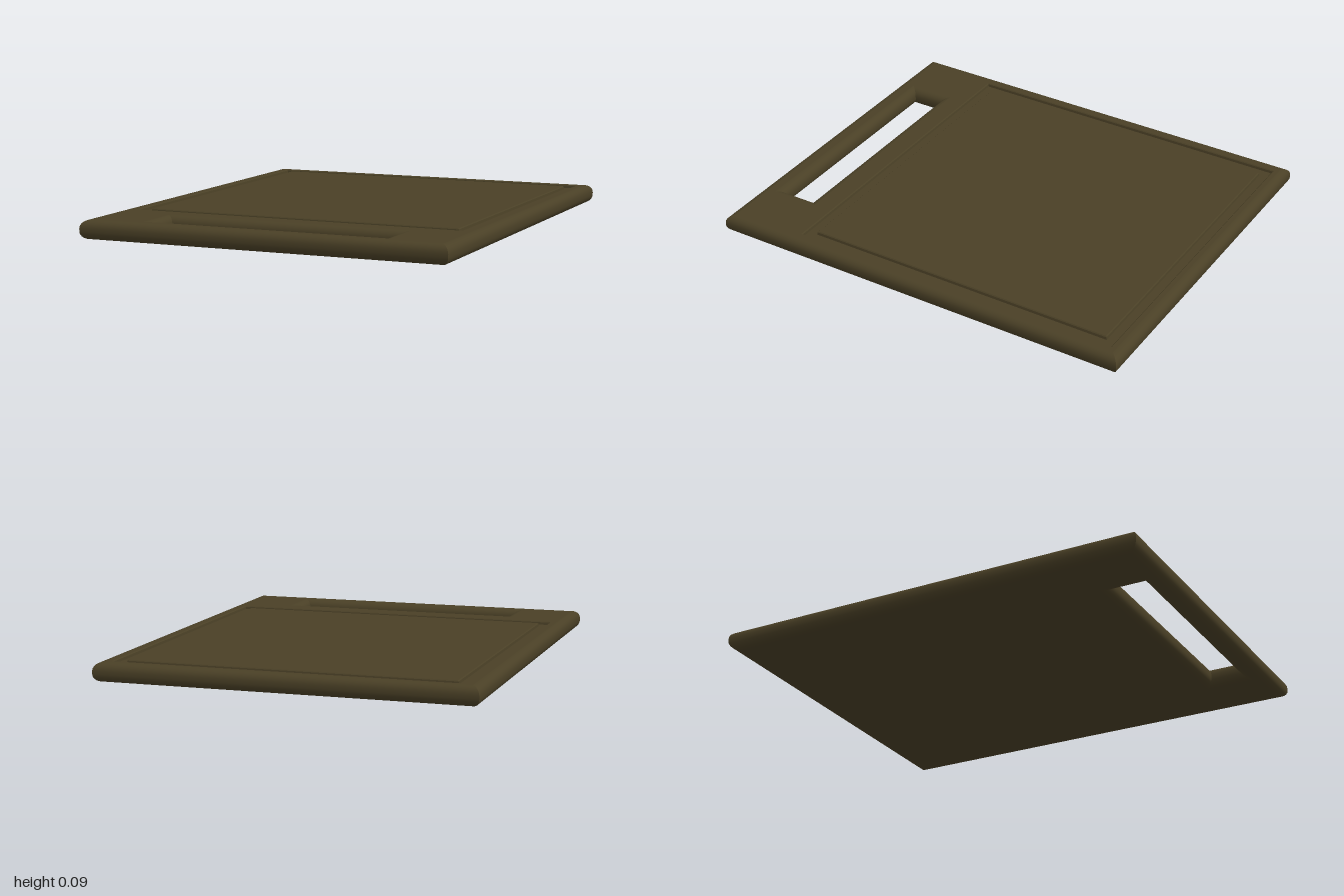
import * as THREE from 'three';
import { mergeGeometries, toCreasedNormals } from 'three/addons/utils/BufferGeometryUtils.js';

const H = 0.085, R = 0.036;

// A rectangle in plan: half width, back z, front z
const outer = { w: 0.843, z0: -1, z1: 1 };
const slot = { w: 0.53, z0: 0.745, z1: 0.893 };
const groove = { w: 0.78, z0: -0.942, z1: 0.622 };

const grow = (r, d) => ({ w: r.w + d, z0: r.z0 - d, z1: r.z1 + d });
const corners = (r) => [[-r.w, r.z0], [-r.w, r.z1], [r.w, r.z1], [r.w, r.z0]];

// Sweep a profile of [offset, y] around a rectangle, with mitred corners
function sweepRect(rect, profile) {
  const rings = profile.map(([d, y]) => corners(grow(rect, d)).map(([x, z]) => [x, y, z]));
  const sides = [];
  for (let k = 0; k < 4; k++) {
    const n = (k + 1) % 4, pos = [];
    for (let i = 0; i + 1 < rings.length; i++) {
      const a = rings[i], b = rings[i + 1];
      pos.push(...a[k], ...a[n], ...b[n], ...a[k], ...b[n], ...b[k]);
    }
    const g = new THREE.BufferGeometry();
    g.setAttribute('position', new THREE.Float32BufferAttribute(pos, 3));
    sides.push(toCreasedNormals(g, 0.6));
  }
  return mergeGeometries(sides);
}

// Flat face with rectangular holes, looking up (1) or down (-1)
function flatFace(rect, holes, y, up) {
  const pts = (r) => corners(r).map(([x, z]) => new THREE.Vector2(x, -up * z));
  const shape = new THREE.Shape(pts(rect));
  shape.holes = holes.map((h) => new THREE.Path(pts(h)));
  return new THREE.ShapeGeometry(shape).rotateX(-up * Math.PI / 2).translate(0, y, 0);
}

// Rounded edge from bottom to top; sign 1 for the rim, -1 for the slot
function roundedEdge(sign, steps = 5) {
  const p = [];
  for (const [cy, start] of [[R, -Math.PI / 2], [H - R, 0]]) {
    for (let i = 0; i <= steps; i++) {
      const a = start + (i / steps) * Math.PI / 2;
      p.push([sign * R * (Math.cos(a) - 1), cy + R * Math.sin(a)]);
    }
  }
  return p;
}

export function createModel() {
  const group = new THREE.Group();
  group.name = 'cuttingBoard';
  const material = new THREE.MeshStandardMaterial({ color: 0x4a4026 });
  const add = (name, geometry) => {
    const mesh = new THREE.Mesh(geometry, material);
    mesh.name = name;
    group.add(mesh);
  };

  // Rounded rim and the handle slot through the board
  add('outerEdge', sweepRect(outer, roundedEdge(1)));
  add('handleSlot', sweepRect(slot, roundedEdge(-1).reverse()));

  // Juice groove: shallow channel with softened lips
  const floor = H - 0.015;
  add('juiceGroove', sweepRect(groove, [
    [0, H], [-0.004, H - 0.004], [-0.006, floor],
    [-0.049, floor], [-0.051, H - 0.004], [-0.055, H],
  ]));

  // Flat surfaces
  add('topBorder', flatFace(grow(outer, -R), [groove, grow(slot, R)], H, 1));
  add('cuttingSurface', flatFace(grow(groove, -0.055), [], H, 1));
  add('underside', flatFace(grow(outer, -R), [grow(slot, R)], 0, -1));

  return group;
}
